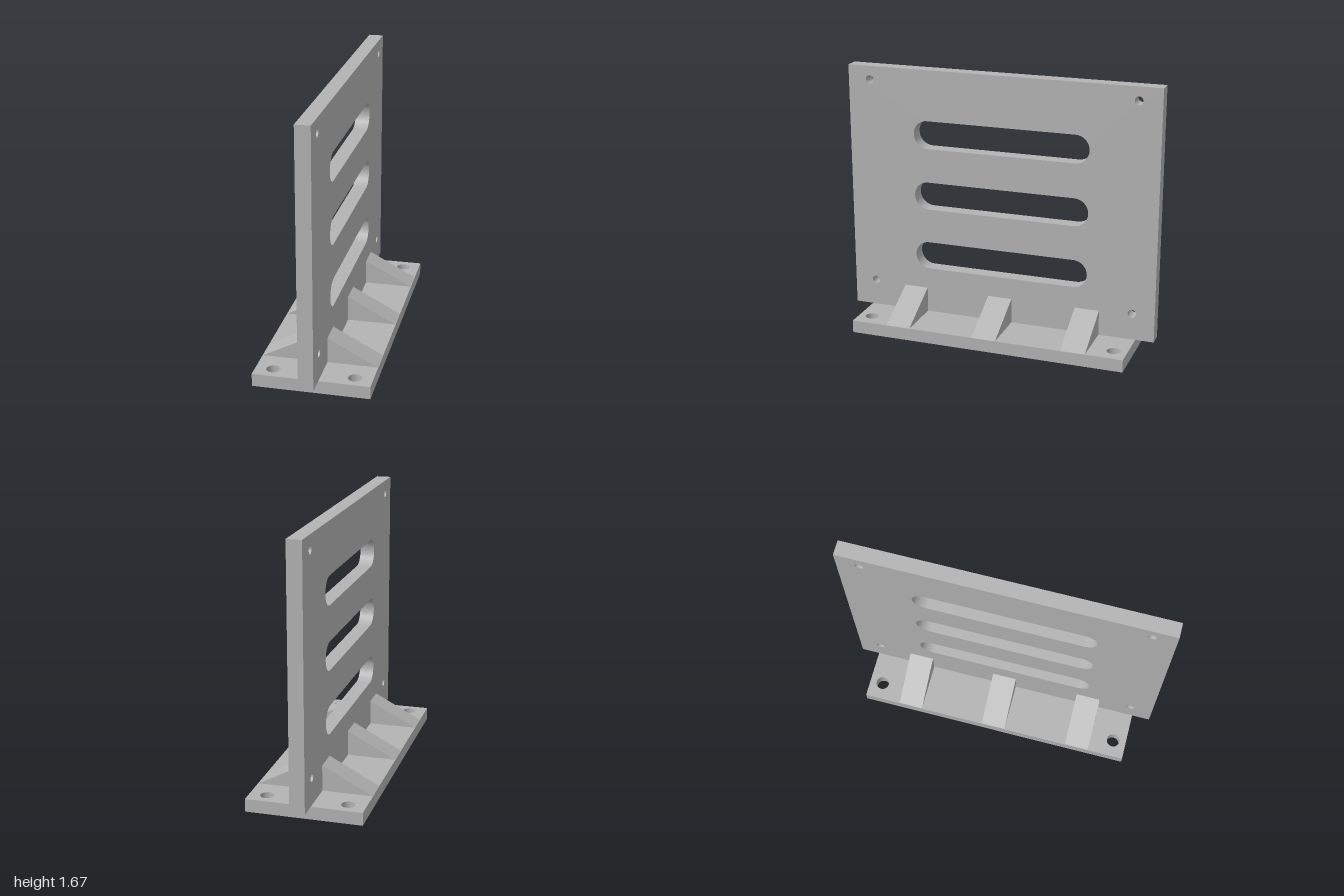
import * as THREE from 'three';

const grey = new THREE.MeshStandardMaterial({ color: 0xb3b3b3 });
grey.name = 'plain grey';

function rect(x0, y0, x1, y1) {
  return new THREE.Shape([[x0, y0], [x1, y0], [x1, y1], [x0, y1]].map(p => new THREE.Vector2(...p)));
}

function roundHole(x, y, r) {
  return new THREE.Path().absarc(x, y, r, 0, Math.PI * 2, true);
}

// Horizontal slot with semicircular ends
function slotHole(y, halfLength, r) {
  const c = halfLength - r;
  const p = new THREE.Path();
  p.absarc(c, y, r, -Math.PI / 2, Math.PI / 2, false);
  p.absarc(-c, y, r, Math.PI / 2, Math.PI * 1.5, false);
  p.closePath();
  return p;
}

// Extrusion centred on its own depth
function slab(shape, depth) {
  const g = new THREE.ExtrudeGeometry(shape, { depth, bevelEnabled: false, curveSegments: 20 });
  return g.translate(0, 0, -depth / 2);
}

export function createModel() {
  const group = new THREE.Group();
  const add = (name, geometry) => {
    const mesh = new THREE.Mesh(geometry, grey);
    mesh.name = name;
    group.add(mesh);
    return mesh;
  };

  const baseTop = 0.08;

  // Base plate with four bolt holes
  const base = rect(-0.355, -0.885, 0.355, 0.885);
  for (const x of [-0.247, 0.247])
    for (const z of [-0.8, 0.8]) base.holes.push(roundHole(x, z, 0.042));
  add('basePlate', slab(base, baseTop).rotateX(-Math.PI / 2).translate(0, baseTop / 2, 0));

  // Upright panel with three slots and four corner holes
  const panel = rect(-1, baseTop, 1, 1.67);
  for (const y of [0.465, 0.863, 1.26]) panel.holes.push(slotHole(y, 0.567, 0.089));
  for (const z of [-0.857, 0.857])
    for (const y of [0.25, 1.585]) panel.holes.push(roundHole(z, y, 0.026));
  add('uprightPanel', slab(panel, 0.092).rotateY(-Math.PI / 2));

  // Triangular gussets on both sides of the panel
  for (const [side, s] of [['left', 1], ['right', -1]]) {
    const wedge = new THREE.Shape([
      new THREE.Vector2(s * 0.046, baseTop),
      new THREE.Vector2(s * 0.352, baseTop),
      new THREE.Vector2(s * 0.046, 0.24),
    ]);
    for (const z of [-0.572, 0, 0.572]) add(side + 'Gusset', slab(wedge, 0.156)).position.z = z;
  }
  return group;
}
